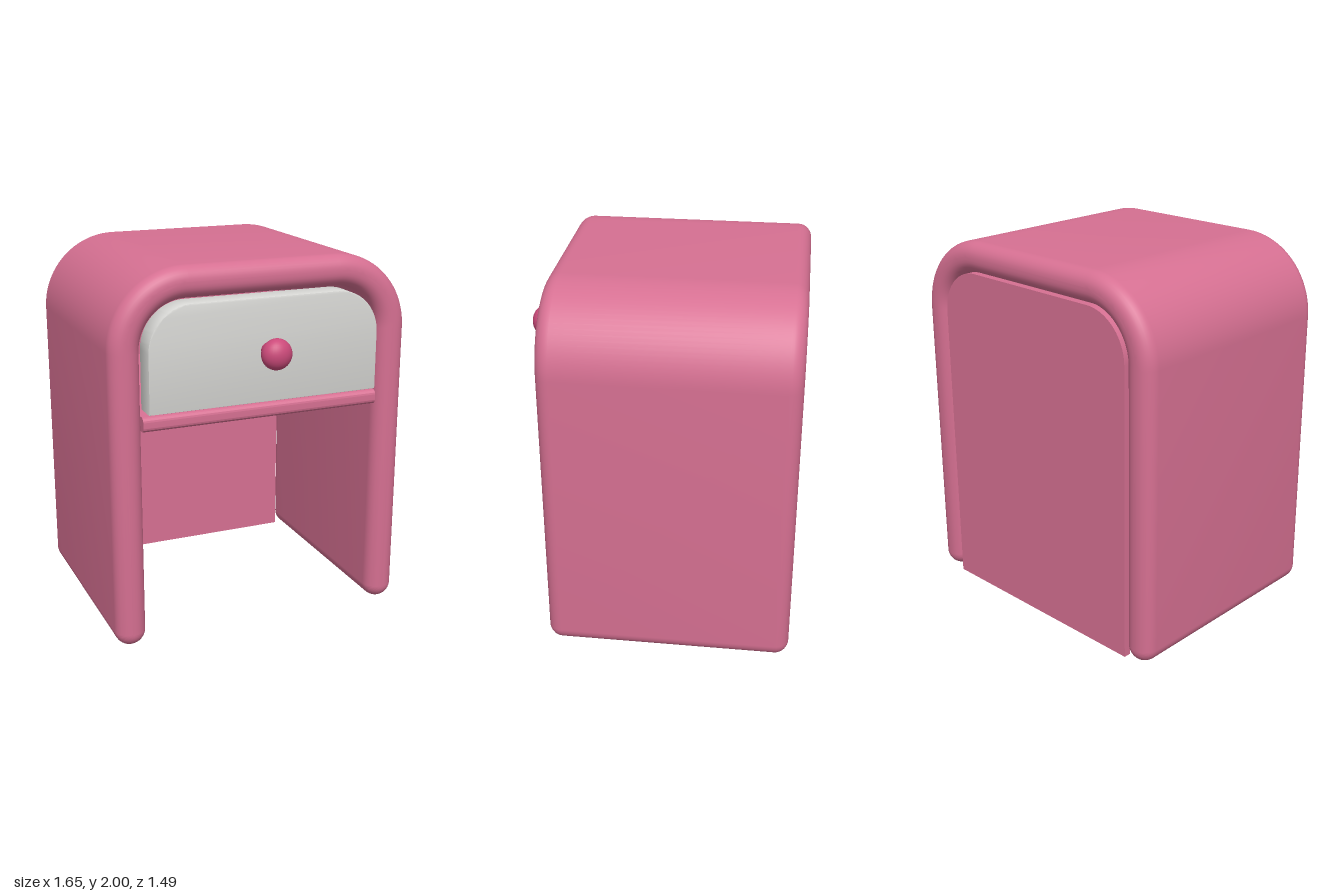
import * as THREE from 'three';
import { toCreasedNormals } from 'three/addons/utils/BufferGeometryUtils.js';

const material = (name, color) => {
  const m = new THREE.MeshStandardMaterial({ color });
  m.name = name;
  return m;
};

// Panel outline with two rounded top corners
function archedPanel(halfWidth, bottom, top, radius) {
  const s = new THREE.Shape();
  s.moveTo(-halfWidth, bottom);
  s.lineTo(halfWidth, bottom);
  s.absarc(halfWidth - radius, top - radius, radius, 0, Math.PI / 2);
  s.absarc(radius - halfWidth, top - radius, radius, Math.PI / 2, Math.PI);
  s.closePath();
  return s;
}

// Thin arch core, which the bevel swells into a wall with fully rounded rims
function archCore(w, bottom, top, r, e) {
  const s = new THREE.Shape();
  const cx = w - r, cy = top - r, PI = Math.PI;
  s.moveTo(w + e, bottom);
  s.absarc(cx, cy, r + e, 0, PI / 2);
  s.absarc(-cx, cy, r + e, PI / 2, PI);
  s.absarc(-w, bottom, e, PI, 2 * PI);
  s.absarc(-cx, cy, r - e, PI, PI / 2, true);
  s.absarc(cx, cy, r - e, PI / 2, 0, true);
  s.absarc(w, bottom, e, PI, 2 * PI);
  return s;
}

// Extrude between two z planes, bevel included in the depth
function extrude(shape, z0, z1, bevel, bevelSegments, offset = 0) {
  const g = new THREE.ExtrudeGeometry(shape, {
    depth: z1 - z0 - 2 * bevel, curveSegments: 12,
    bevelEnabled: bevel > 0, bevelThickness: bevel, bevelSize: bevel,
    bevelOffset: offset, bevelSegments,
  });
  g.translate(0, 0, z0 + bevel);
  return toCreasedNormals(g, 0.6);
}

export function createModel() {
  const pink = material('pink lacquer', 0xd67092);
  const grey = material('light grey', 0xd8d8d5);
  const rose = material('deep rose', 0xcb4a7a);

  const model = new THREE.Group();
  model.name = 'nightstand';
  const add = (name, geometry, mat) => {
    const mesh = new THREE.Mesh(geometry, mat);
    mesh.name = name;
    model.add(mesh);
    return mesh;
  };

  // Arched body with soft rims
  add('archShell', extrude(archCore(0.7425, 0.0875, 1.9175, 0.3275, 0.0075), -0.745, 0.56, 0.075, 8), pink);

  // Back panel filling the arch
  add('backPanel', extrude(archedPanel(0.66, 0, 1.836, 0.246), -0.73, -0.69, 0, 1), pink);

  // Shelf with a rounded front edge, drawn in side profile
  const profile = new THREE.Shape();
  const front = 0.54, y0 = 1.177, y1 = 1.255, r = 0.025;
  profile.moveTo(-0.7, y0);
  profile.absarc(front - r, y0 + r, r, -Math.PI / 2, 0);
  profile.absarc(front - r, y1 - r, r, 0, Math.PI / 2);
  profile.lineTo(-0.7, y1);
  const shelf = extrude(profile, -0.658, 0.658, 0, 1);
  shelf.rotateY(-Math.PI / 2);
  add('shelf', shelf, pink);

  // Drawer front with slightly softened edges
  add('drawerFront', extrude(archedPanel(0.635, 1.275, 1.82, 0.235), 0.44, 0.57, 0.005, 2, -0.005), grey);

  // Knob stem and flattened ball, turned around the z axis
  const stemProfile = [
    [0, 0], [0.03, 0], [0.038, 0.01], [0.038, 0.055], [0.03, 0.065], [0.03, 0.08],
  ].map(([x, y]) => new THREE.Vector2(x, y));
  const stem = new THREE.LatheGeometry(stemProfile, 24);
  stem.rotateX(Math.PI / 2);
  add('knobStem', stem, rose).position.set(0, 1.553, 0.568);

  const ball = new THREE.SphereGeometry(0.081, 32, 20);
  ball.scale(1, 1, 0.79);
  add('knob', ball, rose).position.set(0, 1.553, 0.682);

  return model;
}
